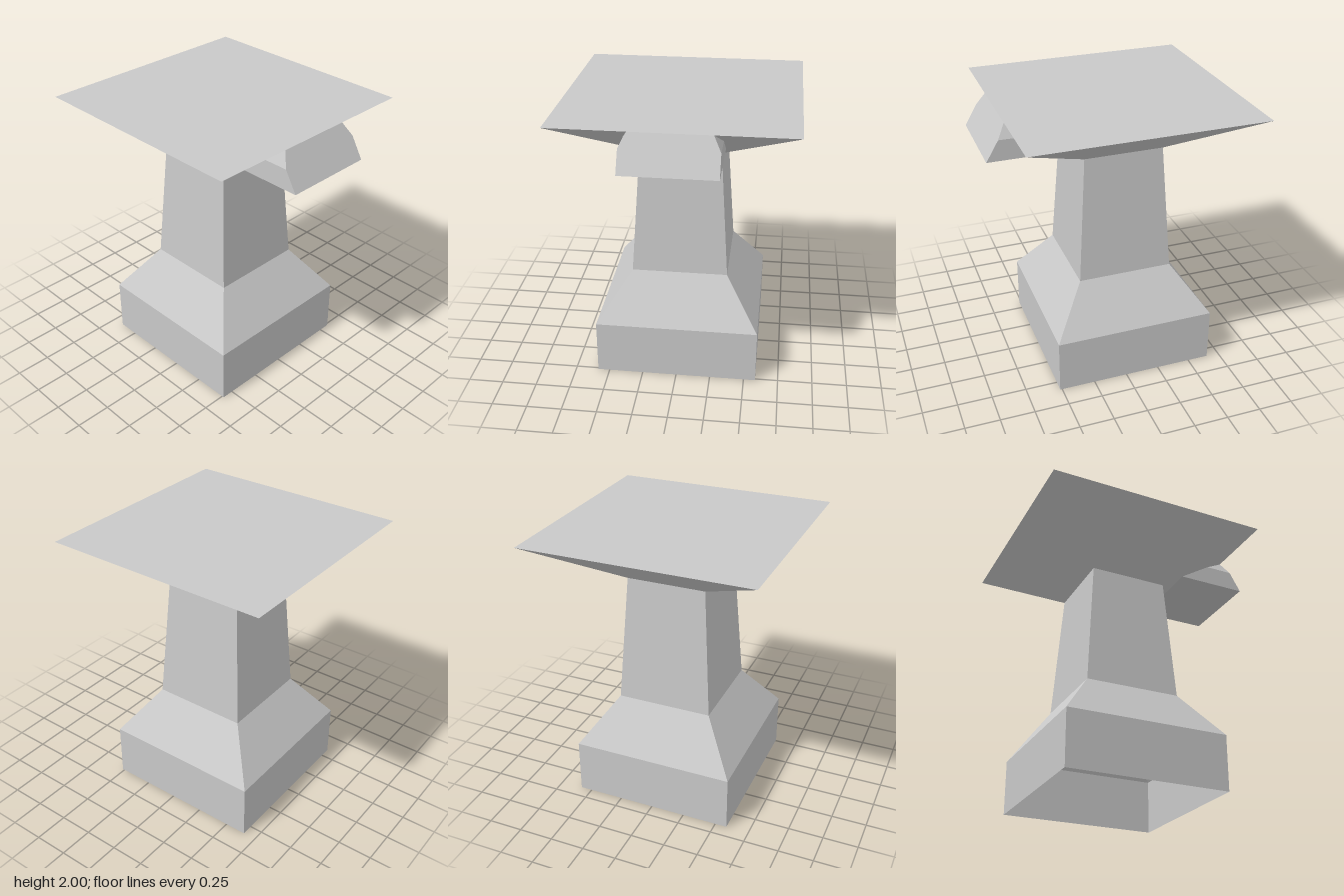
import * as THREE from 'three';

const AXIS_X = -0.07; // the column stands left of the overall centre because of the side bracket

// Square cross-section, counter-clockwise from above
const square = (half, y) =>
  [[1, 1], [1, -1], [-1, -1], [-1, 1]].map(([sx, sz]) => [AXIS_X + sx * half, y, sz * half]);

// Flat-faced skin through matching cross-sections, with an optional cap on the last one
function loft(rings, cap) {
  const pos = [];
  const tri = (a, b, c) => pos.push(...a, ...b, ...c);
  for (let r = 0; r < rings.length - 1; r++) {
    const lo = rings[r], hi = rings[r + 1], n = lo.length;
    for (let i = 0; i < n; i++) {
      const j = (i + 1) % n;
      tri(lo[i], lo[j], hi[j]);
      tri(lo[i], hi[j], hi[i]);
    }
  }
  if (cap) {
    const end = rings[rings.length - 1];
    for (let i = 1; i < end.length - 1; i++) tri(end[0], end[i], end[i + 1]);
  }
  const geometry = new THREE.BufferGeometry();
  geometry.setAttribute('position', new THREE.Float32BufferAttribute(pos, 3));
  geometry.computeVertexNormals();
  return geometry;
}

export function createModel() {
  const group = new THREE.Group();
  group.name = 'pedestal';
  const stone = new THREE.MeshStandardMaterial({ color: 0xc8c8c8, side: THREE.DoubleSide, flatShading: true });
  stone.name = 'pale grey stone';

  const add = (name, rings, cap = false) => {
    const mesh = new THREE.Mesh(loft(rings, cap), stone);
    mesh.name = name;
    group.add(mesh);
  };

  // Hollow column, open underneath
  add('base', [square(0.585, 0), square(0.585, 0.4)]);
  add('baseSlope', [square(0.585, 0.4), square(0.345, 0.74)]);
  add('shaft', [square(0.345, 0.74), square(0.285, 1.665)]);
  add('flaredTop', [square(0.285, 1.665), square(0.815, 2)], true);

  // Side bracket: chamfered profile between the flare's slope and a slanted end face
  const profile = [[0.322, 1.762], [-0.322, 1.762], [-0.322, 1.907], [-0.272, 2], [0.272, 2], [0.322, 1.907]];
  const innerX = (y) => 0.745 - (2 - y) * (0.53 / 0.335);
  const outerX = (y) => 0.745 + (2 - y) * (0.14 / 0.238);
  const section = (xAt) => profile.map(([z, y]) => [xAt(y), y, z]);
  add('sideBracket', [section(innerX), section(outerX)], true);

  return group;
}
